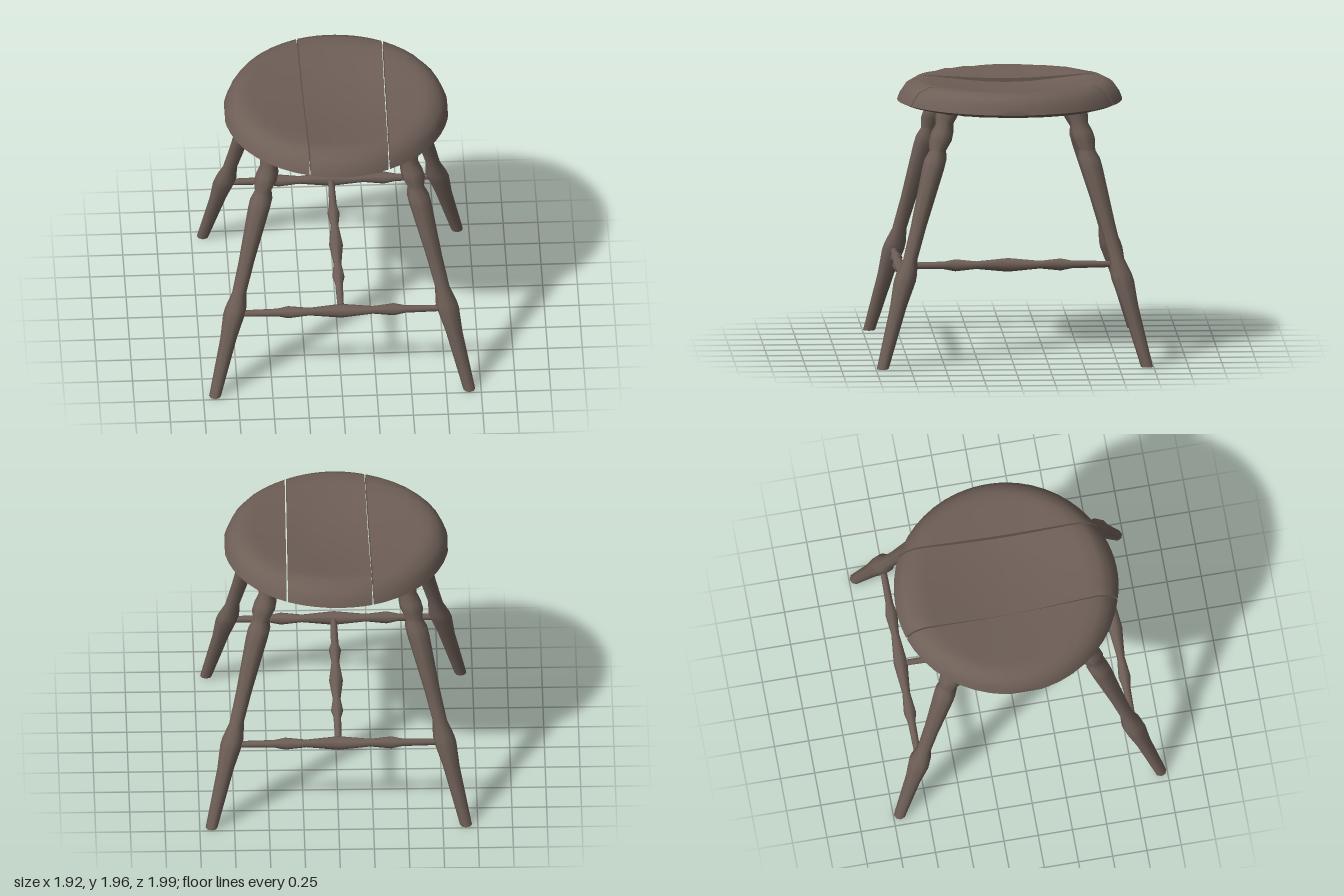
import * as THREE from 'three';
import { toCreasedNormals } from 'three/addons/utils/BufferGeometryUtils.js';

const R = 0.81; // seat radius
const EDGE = R * 0.99;

// piecewise linear lookup in a list of [position, value]
function lookup(table, t) {
  for (let i = 1; i < table.length; i++) {
    const [a, va] = table[i - 1], [b, vb] = table[i];
    if (t <= b) return va + (vb - va) * Math.max(0, (t - a) / (b - a));
  }
  return table[table.length - 1][1];
}

// one board of the dished round seat, swept from cross-sections along x
function plankGeometry(x0, x1, slope0, slope1, topProfile) {
  const bottomProfile = [[0, 1.79], [0.74, 1.79], [R, 1.82]];
  const steps = 9, n = 16, loop = 2 * n;
  const pos = [], index = [];
  for (let i = 0; i <= steps; i++) {
    let t = i / steps;
    if (x1 >= EDGE) t = Math.sin(t * Math.PI / 2);
    if (x0 <= -EDGE) t = 1 - Math.cos(t * Math.PI / 2);
    const x = x0 + (x1 - x0) * t;
    const half = Math.sqrt(R * R - x * x);
    for (let k = 0; k < loop; k++) {
      const top = k <= n;
      const j = top ? k : loop - k;
      const z = half * Math.sin((j / n - 0.5) * Math.PI);
      const r = Math.min(Math.hypot(x, z), R);
      const y = lookup(top ? topProfile : bottomProfile, r);
      pos.push(x + z * (slope0 * (1 - t) + slope1 * t), y, z - 0.012);
    }
  }
  for (let i = 0; i < steps; i++) {
    for (let k = 0; k < loop; k++) {
      const k1 = (k + 1) % loop;
      const a = i * loop + k, b = a + loop, d = i * loop + k1, c = d + loop;
      index.push(a, d, b, b, d, c);
    }
  }
  // sawn end faces
  const last = steps * loop;
  for (let k = 0; k < n; k++) {
    const p = k, q = k + 1, s = loop - k - 1, u = (loop - k) % loop;
    if (q !== s) {
      index.push(last + p, last + q, last + s, p, s, q);
    }
    if (u !== p) {
      index.push(last + p, last + s, last + u, p, u, s);
    }
  }
  const g = new THREE.BufferGeometry();
  g.setAttribute('position', new THREE.Float32BufferAttribute(pos, 3));
  g.setIndex(index);
  return toCreasedNormals(g, 0.75);
}

// turned part from [radius, height] pairs
function turned(profile, sides) {
  const pts = profile.map(([r, y]) => new THREE.Vector2(r, y));
  return toCreasedNormals(new THREE.LatheGeometry(pts, sides), 0.95);
}

export function createModel() {
  const group = new THREE.Group();
  const wood = new THREE.MeshStandardMaterial({ color: 0x6e5f57 });
  wood.name = 'dark brown wood';
  const add = (name, geometry) => {
    const mesh = new THREE.Mesh(geometry, wood);
    mesh.name = name;
    group.add(mesh);
    return mesh;
  };

  // seat boards, the middle one hollowed deeper
  const rim = [[0.68, 1.965], [0.73, 1.945], [0.78, 1.9], [R, 1.82]];
  const outer = [[0, 1.925], [0.25, 1.93], [0.5, 1.95], ...rim];
  const middle = [[0, 1.895], [0.25, 1.905], [0.5, 1.94], ...rim];
  add('rightSeatPlank', plankGeometry(-EDGE, -0.241, 0, 0.02, outer));
  add('middleSeatPlank', plankGeometry(-0.23, 0.352, 0.02, -0.01, middle));
  add('leftSeatPlank', plankGeometry(0.363, EDGE, -0.01, 0, outer));

  // four splayed turned legs, feet cut level with the floor
  const legProfile = [
    [0, 0], [0.043, 0], [0.06, 0.43], [0.08, 0.61], [0.077, 0.66], [0.052, 0.77],
    [0.057, 1.0], [0.08, 1.4], [0.08, 1.47], [0.06, 1.53], [0.083, 1.6],
    [0.08, 1.66], [0.064, 1.72], [0.08, 1.77], [0.078, 1.83], [0, 1.83],
  ];
  for (const sz of [1, -1]) {
    for (const sx of [1, -1]) {
      const leg = turned(legProfile, 8);
      leg.applyMatrix4(new THREE.Matrix4().set(
        1, -0.239 * sx, 0, 0.915 * sx,
        0, 1, 0, 0,
        0, -0.272 * sz, 1, 0.952 * sz,
        0, 0, 0, 1));
      add((sz > 0 ? 'front' : 'back') + (sx > 0 ? 'Left' : 'Right') + 'Leg', leg);
    }
  }

  // H-shaped stretchers
  const stretcherProfile = [
    [0.022, -0.77], [0.028, -0.46], [0.044, -0.38], [0.028, -0.23], [0.05, 0],
    [0.028, 0.23], [0.044, 0.38], [0.028, 0.46], [0.022, 0.77],
  ];
  const stretcher = turned(stretcherProfile, 8);
  for (const s of [1, -1]) {
    const bar = add(s > 0 ? 'frontStretcher' : 'backStretcher', stretcher);
    bar.rotation.z = Math.PI / 2;
    bar.position.set(0, 0.608, 0.784 * s);
  }
  const cross = add('middleStretcher', stretcher);
  cross.rotation.x = Math.PI / 2;
  cross.position.y = 0.608;

  return group;
}
